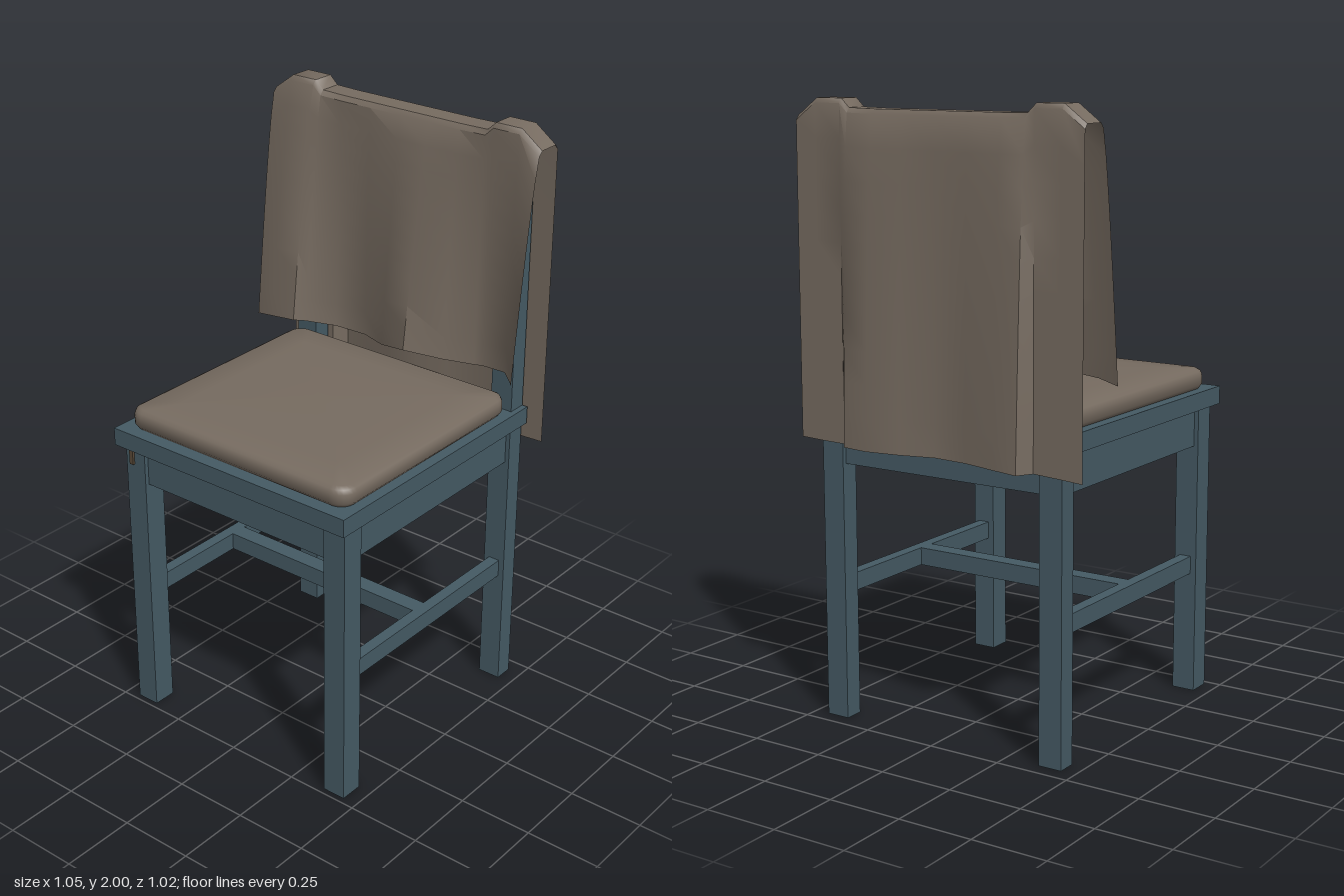
import * as THREE from 'three';
import { toCreasedNormals } from 'three/addons/utils/BufferGeometryUtils.js';

const wood = new THREE.MeshStandardMaterial({ color: 0x455a64 });
const fabric = new THREE.MeshStandardMaterial({ color: 0x766b60 });
const cloth = new THREE.MeshStandardMaterial({ color: 0x766b60, side: THREE.DoubleSide });
const tieBrown = new THREE.MeshStandardMaterial({ color: 0x5a4a38 });

// Box given by its limits on each axis
function box(name, [x0, x1], [y0, y1], [z0, z1], material = wood) {
  const geometry = new THREE.BoxGeometry(x1 - x0, y1 - y0, z1 - z0);
  const mesh = new THREE.Mesh(geometry, material);
  mesh.position.set((x0 + x1) / 2, (y0 + y1) / 2, (z0 + z1) / 2);
  mesh.name = name;
  return mesh;
}

// Grid of points, rows by columns, as a smooth surface with creases
function gridSurface(rows, crease) {
  const n = rows[0].length;
  const index = [];
  for (let r = 0; r < rows.length - 1; r++) {
    for (let c = 0; c < n - 1; c++) {
      const a = r * n + c;
      index.push(a, a + 1, a + n, a + 1, a + n + 1, a + n);
    }
  }
  const geometry = new THREE.BufferGeometry().setFromPoints(rows.flat());
  geometry.setIndex(index);
  return toCreasedNormals(geometry, crease);
}

// Rounded, slightly crowned cushion, built from stacked rounded-square rings
function cushion() {
  const halfX = 0.445, halfZ = 0.4275, centreZ = 0.0475, radius = 0.06;
  const profile = [[0.4, 1.04], [0.012, 1.04], [0, 1.055], [0, 1.085], [0.006, 1.099],
    [0.02, 1.107], [0.12, 1.114], [0.25, 1.118], [0.4, 1.12]];
  const rows = profile.map(([inset, y]) => {
    const ring = [];
    const r = Math.max(radius - inset, 0.012);
    for (let corner = 0; corner < 4; corner++) {
      for (let k = 0; k <= 6; k++) {
        const a = (corner + k / 6) * Math.PI / 2;
        const sx = corner === 0 || corner === 3 ? 1 : -1;
        const sz = corner < 2 ? 1 : -1;
        ring.push(new THREE.Vector3(
          sx * (halfX - inset - r) + r * Math.cos(a), y,
          centreZ + sz * (halfZ - inset - r) + r * Math.sin(a)));
      }
    }
    ring.push(ring[0].clone());
    return ring;
  });
  // Close both middles
  const middle = (y) => rows[0].map(() => new THREE.Vector3(0, y, centreZ));
  rows.unshift(middle(1.04));
  rows.push(middle(1.12));
  // Reverse the rings so that faces point outwards
  rows.forEach((row) => row.reverse());
  const mesh = new THREE.Mesh(gridSurface(rows, 0.9), fabric);
  mesh.name = 'seatCushion';
  return mesh;
}

// Cloth hung over the backrest, with wavy hems
function drape() {
  // x, top height, front hem height, front hem z, back hem height, back hem z
  const columns = [
    [-0.525, 1.945, 1.165, -0.26, 0.905, -0.46],
    [-0.45, 2, 1.18, -0.245, 0.91, -0.46],
    [-0.355, 2, 1.19, -0.245, 0.915, -0.46],
    [-0.325, 1.972, 1.185, -0.275, 0.915, -0.51],
    [-0.24, 1.97, 1.17, -0.335, 0.92, -0.505],
    [-0.12, 1.97, 1.17, -0.34, 0.92, -0.475],
    [0, 1.97, 1.19, -0.275, 0.92, -0.465],
    [0.115, 1.97, 1.215, -0.24, 0.92, -0.495],
    [0.23, 1.97, 1.195, -0.3, 0.92, -0.512],
    [0.325, 1.972, 1.187, -0.345, 0.92, -0.5],
    [0.355, 2, 1.19, -0.35, 0.92, -0.46],
    [0.45, 2, 1.2, -0.335, 0.922, -0.46],
    [0.525, 1.945, 1.205, -0.26, 0.925, -0.46],
  ];
  const rows = [];
  const steps = 10;
  // Front panel, from the hem up
  for (let i = steps; i >= 0; i--) {
    const t = i / steps;
    rows.push(columns.map(([x, top, y, z]) => new THREE.Vector3(
      x, THREE.MathUtils.lerp(top - 0.015, y, t),
      THREE.MathUtils.lerp(-0.356, z, t ** 0.8))));
  }
  // Flat top
  for (const z of [-0.37, -0.445]) {
    rows.push(columns.map(([x, top]) => new THREE.Vector3(x, top, z)));
  }
  // Back panel, from the top down
  for (let i = 0; i <= steps; i++) {
    const t = i / steps;
    rows.push(columns.map(([x, top, , , y, z]) => new THREE.Vector3(
      x, THREE.MathUtils.lerp(top - 0.015, y, t),
      THREE.MathUtils.lerp(-0.457, z, t ** 0.6))));
  }
  const mesh = new THREE.Mesh(gridSurface(rows, 0.7), cloth);
  mesh.name = 'drapedCloth';
  return mesh;
}

export function createModel() {
  const group = new THREE.Group();
  group.name = 'chair';

  // Seat board and cushion
  group.add(box('seatBoard', [-0.47, 0.47], [0.98, 1.04], [-0.45, 0.51]));
  group.add(cushion());

  // Legs, side aprons and side rails, mirrored
  for (const s of [-1, 1]) {
    const span = (a, b) => (s > 0 ? [a, b] : [-b, -a]);
    const side = s > 0 ? 'left' : 'right';
    group.add(box(side + 'FrontLeg', span(0.37, 0.45), [0, 0.98], [0.4, 0.48]));
    group.add(box(side + 'BackPost', span(0.37, 0.45), [0, 1.97], [-0.45, -0.385]));
    group.add(box(side + 'Apron', span(0.395, 0.435), [0.85, 0.98], [-0.415, 0.44]));
    group.add(box(side + 'Rail', span(0.39, 0.43), [0.41, 0.47], [-0.415, 0.44]));
  }

  // Front and back aprons and the cross stretcher
  group.add(box('frontApron', [-0.4, 0.4], [0.85, 0.98], [0.425, 0.465]));
  group.add(box('backApron', [-0.4, 0.4], [0.85, 0.98], [-0.435, -0.395]));
  group.add(box('crossStretcher', [-0.4, 0.4], [0.41, 0.47], [-0.01, 0.05]));

  // Backrest slats under the cloth
  group.add(box('topSlat', [-0.4, 0.4], [1.77, 1.95], [-0.41, -0.36]));
  group.add(box('middleSlat', [-0.4, 0.4], [1.49, 1.6], [-0.41, -0.36]));

  // Small cushion tie at the front corner
  group.add(box('cushionTie', [-0.43, -0.415], [0.915, 0.98], [0.475, 0.488], tieBrown));

  group.add(drape());
  return group;
}
